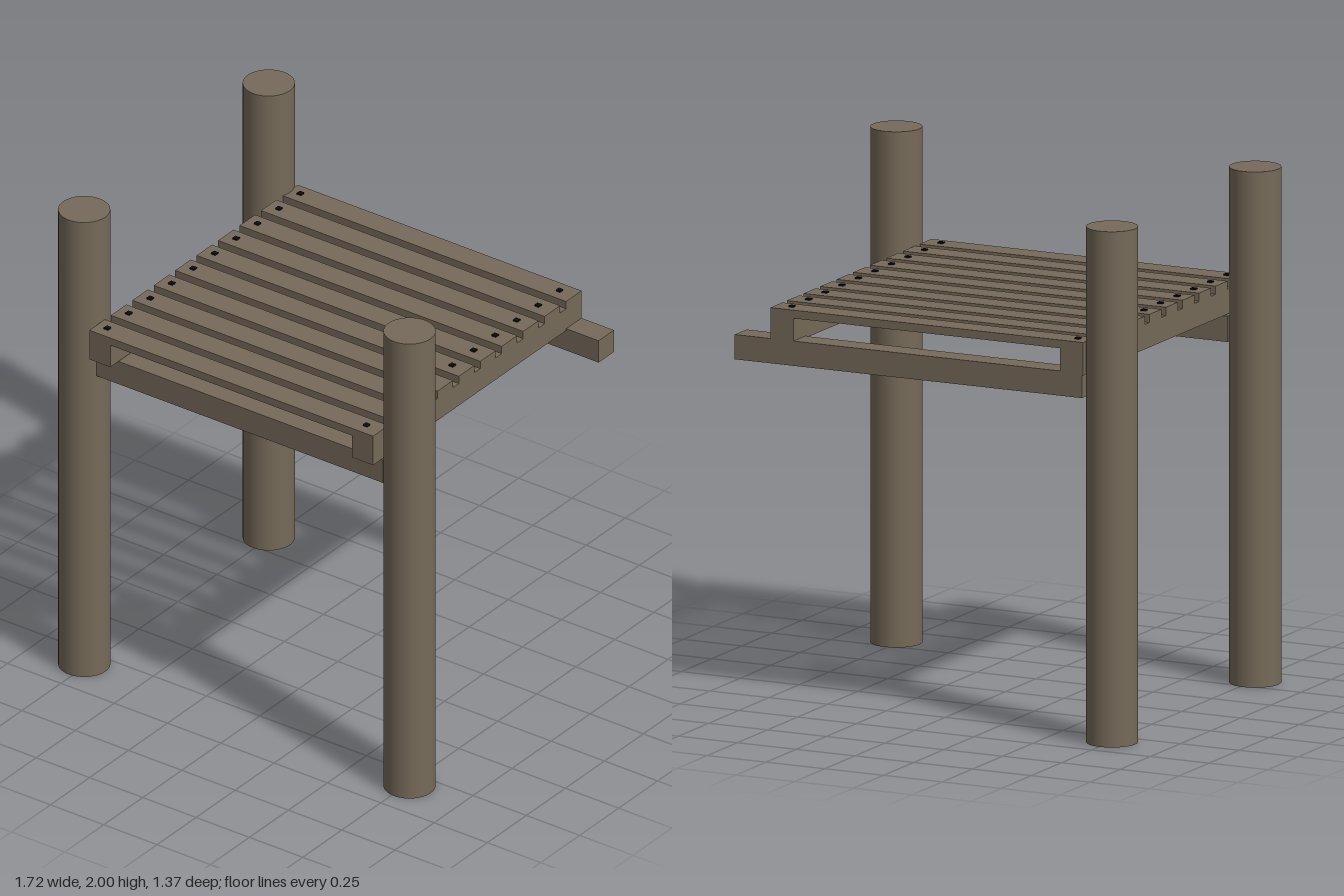
import * as THREE from 'three';

export function createModel() {
  const model = new THREE.Group();
  model.name = 'slattedPlatform';

  const wood = new THREE.MeshStandardMaterial({ color: 0x766a59 });
  wood.name = 'weathered wood';
  const iron = new THREE.MeshStandardMaterial({ color: 0x0c0c14 });
  iron.name = 'dark iron';

  // Box given by its lower and upper limits on each axis
  function addBox(name, [x0, x1], [y0, y1], [z0, z1], material = wood) {
    const mesh = new THREE.Mesh(new THREE.BoxGeometry(x1 - x0, y1 - y0, z1 - z0), material);
    mesh.position.set((x0 + x1) / 2, (y0 + y1) / 2, (z0 + z1) / 2);
    mesh.name = name;
    model.add(mesh);
  }

  // Three round posts; the back left corner has none
  const postGeometry = new THREE.CylinderGeometry(0.099, 0.099, 2, 32);
  const posts = [
    ['frontRightPost', -0.765, 0.58],
    ['frontLeftPost', 0.761, 0.58],
    ['backRightPost', -0.755, -0.589],
  ];
  for (const [name, x, z] of posts) {
    const post = new THREE.Mesh(postGeometry, wood);
    post.position.set(x, 1, z);
    post.name = name;
    model.add(post);
  }

  // Cross beams carrying the deck; the back one runs past its missing post
  addBox('frontBeam', [-0.675, 0.67], [1.32, 1.42], [0.527, 0.625]);
  addBox('backBeam', [-0.66, 0.817], [1.336, 1.432], [-0.653, -0.555]);

  // Side joists
  const backEdge = -0.653, frontEdge = 0.683;
  addBox('rightJoist', [-0.665, -0.567], [1.424, 1.52], [backEdge, frontEdge]);
  addBox('leftJoist', [0.567, 0.665], [1.424, 1.52], [backEdge, frontEdge]);

  // Deck slats, each with a nail over either joist
  const count = 10, width = 0.099;
  const pitch = (frontEdge - backEdge - width) / (count - 1);
  for (let i = 0; i < count; i++) {
    const z = backEdge + i * pitch;
    addBox('deckSlat', [-0.665, 0.665], [1.52, 1.552], [z, z + width]);
    const middle = z + width / 2;
    for (const x of [-0.617, 0.598]) {
      addBox('nailHead', [x - 0.01, x + 0.01], [1.55, 1.558], [middle - 0.01, middle + 0.01], iron);
    }
  }

  return model;
}
